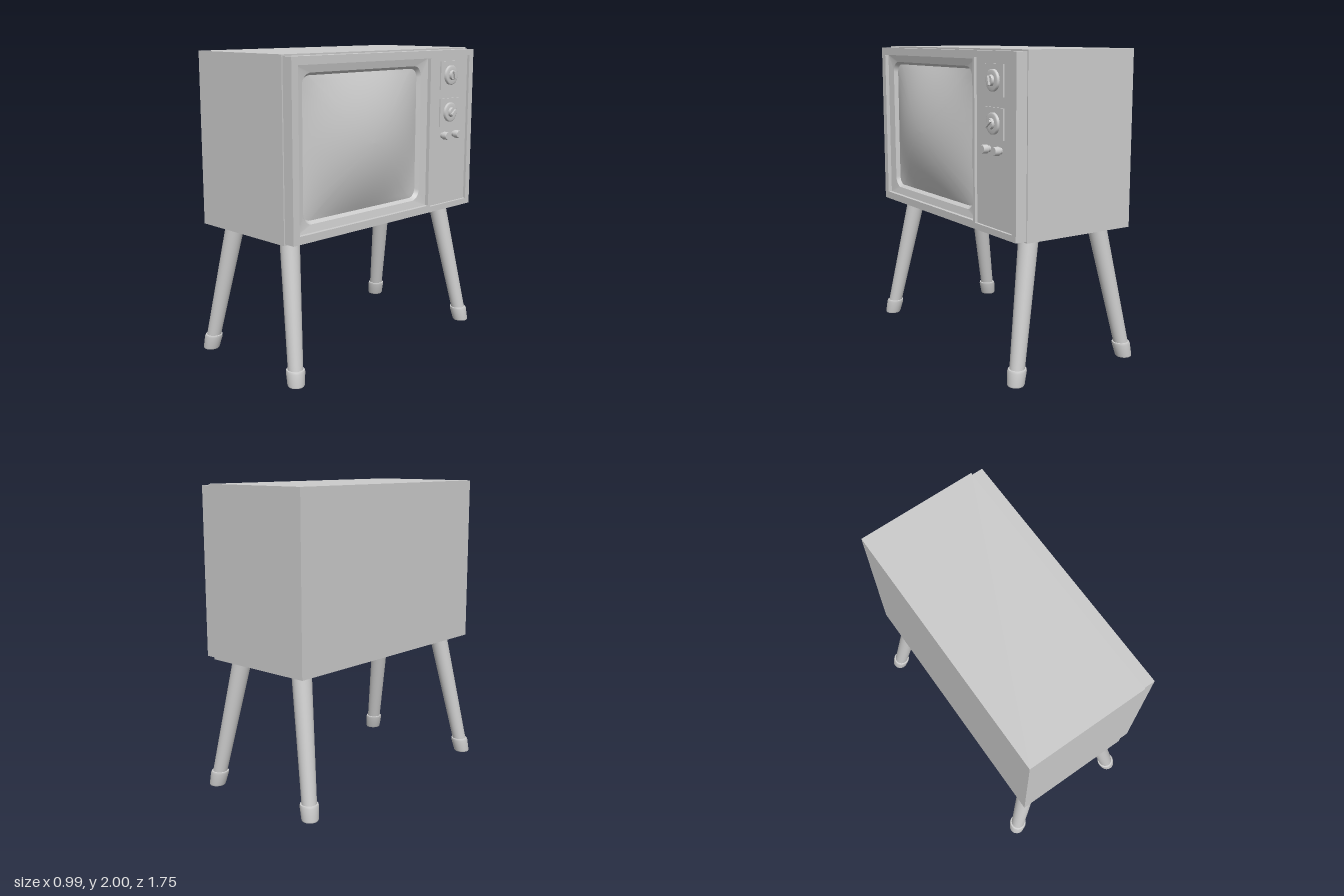
import * as THREE from 'three';

const grey = new THREE.MeshStandardMaterial({ color: 0xcccccc });

function add(parent, name, geometry, x = 0, y = 0, z = 0) {
  const mesh = new THREE.Mesh(geometry, grey);
  mesh.name = name;
  mesh.position.set(x, y, z);
  parent.add(mesh);
  return mesh;
}

// Rounded rectangle outline, counter-clockwise, centred on the origin
function outline(halfW, halfH, r) {
  const pts = [];
  const corners = [[1, 1], [-1, 1], [-1, -1], [1, -1]];
  corners.forEach(([sx, sy], k) => {
    for (let i = 0; i <= 8; i++) {
      const a = (k + i / 8) * Math.PI / 2;
      pts.push([sx * (halfW - r) + r * Math.cos(a), sy * (halfH - r) + r * Math.sin(a)]);
    }
    // points along the straight side to the next corner
    const [nx, ny] = corners[(k + 1) % 4];
    const last = pts[pts.length - 1];
    const b = (k + 1) * Math.PI / 2;
    const ex = nx * (halfW - r) + r * Math.cos(b), ey = ny * (halfH - r) + r * Math.sin(b);
    for (let i = 1; i < 12; i++) {
      const t = i / 12;
      pts.push([last[0] + (ex - last[0]) * t, last[1] + (ey - last[1]) * t]);
    }
  });
  return pts;
}

// Skin through rings of [x, y, z] points running from outside to inside
function loft(rings) {
  const n = rings[0].length;
  const index = [];
  for (let k = 0; k < rings.length - 1; k++) {
    for (let i = 0; i < n; i++) {
      const a = k * n + i, b = k * n + (i + 1) % n;
      index.push(a, b, a + n, b, b + n, a + n);
    }
  }
  const g = new THREE.BufferGeometry();
  g.setAttribute('position', new THREE.Float32BufferAttribute(rings.flat(2), 3));
  g.setIndex(index);
  g.computeVertexNormals();
  return g;
}

const atDepth = (pts, z) => pts.map(([x, y]) => [x, y, z]);

function rectPath(Type, x0, x1, y0, y1) {
  return new Type([[x0, y0], [x1, y0], [x1, y1], [x0, y1]].map(p => new THREE.Vector2(...p)));
}

// Lathe turned so its axis points out of the front panel
function turned(profile, segments = 32) {
  return new THREE.LatheGeometry(profile.map(p => new THREE.Vector2(...p)), segments).rotateX(Math.PI / 2);
}

function makeFront() {
  // Local frame: x across the screen side, y up, z outwards
  const front = new THREE.Group();
  front.name = 'screenSide';
  front.rotation.y = Math.PI / 2;

  // Face frame with openings for the screen and the controls
  const face = rectPath(THREE.Shape, -0.85, 0.85, 0.89, 1.99);
  face.holes.push(rectPath(THREE.Path, -0.8, 0.385, 0.94, 1.94));
  face.holes.push(rectPath(THREE.Path, 0.405, 0.805, 0.93, 1.95));
  add(front, 'faceFrame', new THREE.ExtrudeGeometry(face, { depth: 0.08, bevelEnabled: false }), 0, 0, 0.368);

  // Bezel sloping into the rounded screen opening
  const cx = -0.207, cy = 1.44;
  const opening = outline(0.532, 0.452, 0.07);
  const inner = outline(0.515, 0.435, 0.06);
  add(front, 'screenBezel', loft([
    atDepth(outline(0.593, 0.5, 0.001), 0.422), atDepth(opening, 0.412)]), cx, cy);
  add(front, 'screenRim', loft([atDepth(opening, 0.412), atDepth(inner, 0.387)]), cx, cy);

  // Bulging picture tube
  const rings = [];
  for (let k = 0; k <= 14; k++) {
    const s = Math.max(1 - k / 14, 0.0005);
    rings.push(inner.map(([x, y]) => {
      const u = x * s / 0.515, v = y * s / 0.435;
      return [x * s, y * s, 0.387 + 0.105 * (1 - u * u) * (1 - v * v)];
    }));
  }
  add(front, 'screen', loft(rings), cx, cy);

  // Control panel
  add(front, 'controlPanel', new THREE.BoxGeometry(0.4, 1.02, 0.06), 0.605, 1.44, 0.4);

  // Two dials on square plates
  [[1.82, 0.25], [1.567, -0.9]].forEach(([y, turn]) => {
    const dial = new THREE.Group();
    dial.name = 'dial';
    dial.position.set(0.605, y, 0.43);
    add(dial, 'dialPlate', new THREE.BoxGeometry(0.2, 0.19, 0.02));
    add(dial, 'dialDisc', turned([[0.066, 0.008], [0.066, 0.022], [0.058, 0.027], [0.034, 0.027]]));
    add(dial, 'dialHub', turned([[0.034, 0.02], [0.034, 0.027], [0.03, 0.042], [0.03, 0.042], [0, 0.042]]));
    add(dial, 'dialGrip', new THREE.BoxGeometry(0.014, 0.056, 0.018), 0, 0, 0.046).rotation.z = turn;
    front.add(dial);
  });

  // Small push knobs
  for (const x of [0.543, 0.668]) {
    add(front, 'smallKnob', turned([[0.02, 0], [0.02, 0.02], [0.027, 0.02], [0.027, 0.02],
      [0.027, 0.05], [0.024, 0.054], [0.024, 0.054], [0, 0.054]], 24), x, 1.41, 0.428);
  }
  return front;
}

// Splayed leg: upright turned parts sheared outwards
function makeLeg(sx, sz) {
  const leg = new THREE.Group();
  leg.name = 'leg';
  leg.position.set(sx < 0 ? -0.442 : 0.425, 0, sz * 0.823);
  const kx = -sx * 0.188, kz = -sz * 0.122;
  const shear = new THREE.Matrix4().set(1, kx, 0, 0, 0, 1, 0, 0, 0, kz, 1, 0, 0, 0, 0, 1);
  const post = new THREE.CylinderGeometry(0.063, 0.047, 0.83, 32).translate(0, 0.475, 0);
  add(leg, 'legPost', post.applyMatrix4(shear));
  const foot = [[0, 0], [0.05, 0], [0.05, 0], [0.054, 0.008], [0.057, 0.05], [0.06, 0.085],
    [0.057, 0.098], [0.057, 0.098], [0.045, 0.1]].map(p => new THREE.Vector2(...p));
  add(leg, 'foot', new THREE.LatheGeometry(foot, 32).applyMatrix4(shear));
  return leg;
}

export function createModel() {
  const model = new THREE.Group();
  model.name = 'television';
  add(model, 'cabinet', new THREE.BoxGeometry(0.795, 1.12, 1.716), -0.025, 1.44, 0);
  model.add(makeFront());
  for (const sx of [-1, 1]) for (const sz of [-1, 1]) model.add(makeLeg(sx, sz));
  return model;
}
